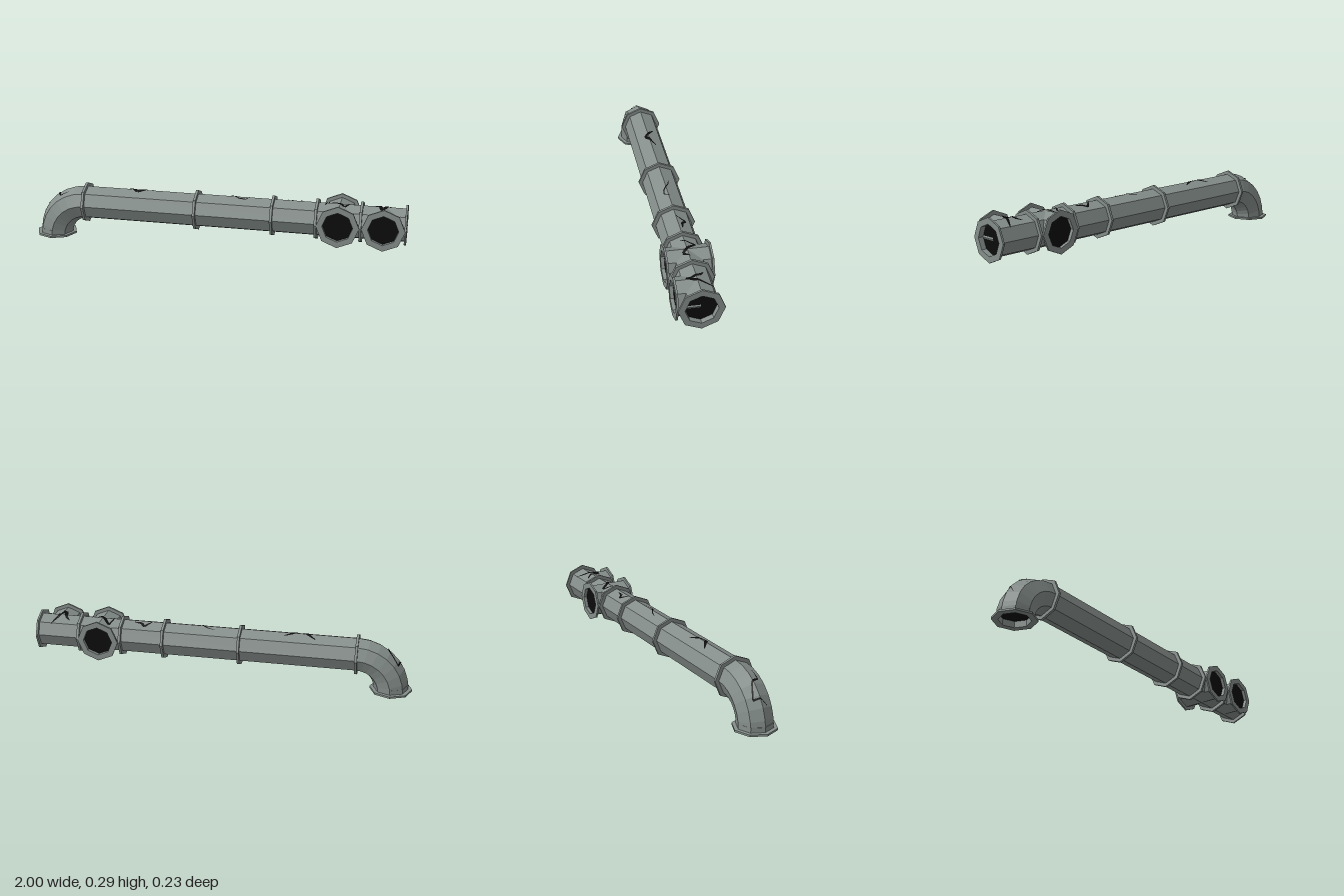
import * as THREE from 'three';

const R = 0.09, FLANGE = 0.11, BORE = 0.078, Y = 0.185, BEND_X = -0.71, BEND_R = 0.18;
const SLOPE = Math.tan(Math.PI / 8);

const steel = new THREE.MeshStandardMaterial({ color: 0x858e8b, flatShading: true });
steel.name = 'grey steel';
const dark = new THREE.MeshStandardMaterial({ color: 0x0c0c0c, side: THREE.DoubleSide });
dark.name = 'dark opening';

function add(parent, name, geometry, material = steel) {
  const mesh = new THREE.Mesh(geometry, material);
  mesh.name = name;
  parent.add(mesh);
  return mesh;
}

// Octagon with corners on its axes
function octagon(r, T = THREE.Shape) {
  const pts = [];
  for (let i = 0; i < 8; i++) {
    const a = i * Math.PI / 4;
    pts.push(new THREE.Vector2(r * Math.cos(a), r * Math.sin(a)));
  }
  return new T(pts);
}

// Octagonal ring running from z = -depth to z = 0
function ring(outer, depth) {
  const s = octagon(outer);
  s.holes.push(octagon(BORE, THREE.Path));
  return new THREE.ExtrudeGeometry(s, { depth, bevelEnabled: false }).translate(0, 0, -depth);
}

// Open pipe end facing local +z: flange, inner wall and dark opening
function mouth(name, depth) {
  const g = new THREE.Group();
  g.name = name;
  add(g, 'endFlange', ring(FLANGE, 0.01));
  add(g, 'innerWall', ring(R - 0.001, depth));
  add(g, 'darkOpening', new THREE.ShapeGeometry(octagon(BORE)).translate(0, 0, -depth + 0.002), dark);
  return g;
}

// Height of the upper surface of the pipework
function surfaceY(x, z) {
  const drop = SLOPE * Math.abs(z);
  if (x < BEND_X) {
    const r = BEND_R + R - drop, d = x - BEND_X;
    return Y - BEND_R + Math.sqrt(Math.max(0, r * r - d * d));
  }
  let y = Y + R - drop;
  for (const px of [0.655, 0.885]) {
    if (Math.abs(x - px) < R && (px < 0.7 || z > 0)) y = Math.max(y, Y + R - SLOPE * Math.abs(x - px));
  }
  return y;
}

// Zigzag ribbon laid over the surface, tapering at both ends
function crack(points, width) {
  const pos = [], index = [], STEPS = 8, n = points.length - 1;
  for (let s = 0; s < n; s++) {
    const [ax, az] = points[s], [bx, bz] = points[s + 1];
    const len = Math.hypot(bx - ax, bz - az);
    const nx = -(bz - az) / len, nz = (bx - ax) / len;
    for (let i = 0; i <= STEPS; i++) {
      const t = i / STEPS, u = (s + t) / n;
      const w = width * (0.25 + 0.75 * Math.sin(Math.PI * u)) / 2;
      for (const side of [-1, 1]) {
        const x = ax + (bx - ax) * t + nx * w * side;
        const z = az + (bz - az) * t + nz * w * side;
        pos.push(x, surfaceY(x, z) + 0.003, z);
      }
      if (i < STEPS) {
        const k = (s * (STEPS + 1) + i) * 2;
        index.push(k, k + 1, k + 2, k + 1, k + 3, k + 2);
      }
    }
  }
  const g = new THREE.BufferGeometry();
  g.setAttribute('position', new THREE.Float32BufferAttribute(pos, 3));
  g.setIndex(index);
  g.computeVertexNormals();
  return g;
}

export function createModel() {
  const model = new THREE.Group();
  model.name = 'pipeRun';

  // Long straight pipe
  const length = 0.995 - BEND_X;
  add(model, 'mainPipe', new THREE.CylinderGeometry(R, R, length, 8, 1, true).rotateZ(Math.PI / 2))
    .position.set(BEND_X + length / 2, Y, 0);

  // Joint flanges along the pipe
  for (const x of [-0.707, -0.097, 0.31, 0.54, 0.768]) {
    add(model, 'jointFlange', new THREE.CylinderGeometry(FLANGE, FLANGE, 0.013, 8).rotateZ(Math.PI / 2))
      .position.set(x, Y, 0);
  }

  // Quarter bend down to the ground
  const profile = [];
  for (let i = 0; i <= 8; i++) {
    const a = i * Math.PI / 4;
    profile.push(new THREE.Vector2(BEND_R + R * Math.cos(a), R * Math.sin(a)));
  }
  add(model, 'elbow', new THREE.LatheGeometry(profile, 7, Math.PI, Math.PI / 2).rotateX(Math.PI / 2))
    .position.set(BEND_X, Y - BEND_R, 0);

  // Open ends: ground and far end
  const base = mouth('groundMouth', 0.035);
  base.rotation.x = Math.PI / 2;
  base.position.set(BEND_X - BEND_R, 0, 0);
  const end = mouth('endMouth', 0.03);
  end.rotation.y = Math.PI / 2;
  end.position.set(1, Y, 0);
  model.add(base, end);

  // Side branches: a cross with two ports, then a tee with one
  for (const [x, dir] of [[0.655, 1], [0.655, -1], [0.885, 1]]) {
    const branch = new THREE.Group();
    branch.name = 'sideBranch';
    add(branch, 'branchPipe', new THREE.CylinderGeometry(R, R, 0.108, 8, 1, true).rotateX(Math.PI / 2))
      .position.z = 0.054;
    const port = mouth('branchMouth', 0.02);
    port.position.z = 0.114;
    branch.add(port);
    branch.position.set(x, Y, 0);
    if (dir < 0) branch.rotation.y = Math.PI;
    model.add(branch);
  }

  // Cracks on the upper surface, as [x, z] paths
  const cracks = [
    [0.008, [[-0.94, 0.03], [-0.92, -0.035], [-0.87, -0.01], [-0.85, 0.035], [-0.8, 0.035]]],
    [0.018, [[-0.49, -0.035], [-0.42, 0.018], [-0.33, -0.025]]],
    [0.007, [[0.04, -0.025], [0.08, -0.015], [0.13, 0.015], [0.165, 0.02], [0.19, -0.005]]],
    [0.014, [[0.375, 0], [0.415, -0.04], [0.435, -0.02], [0.475, -0.015]]],
    [0.016, [[0.58, 0.02], [0.61, -0.05], [0.64, -0.01], [0.68, 0.025], [0.71, -0.005]]],
    [0.018, [[0.83, -0.04], [0.855, -0.015], [0.875, 0.05], [0.9, -0.02], [0.925, -0.07]]],
  ];
  for (const [width, path] of cracks) add(model, 'crack', crack(path, width), dark);

  return model;
}
